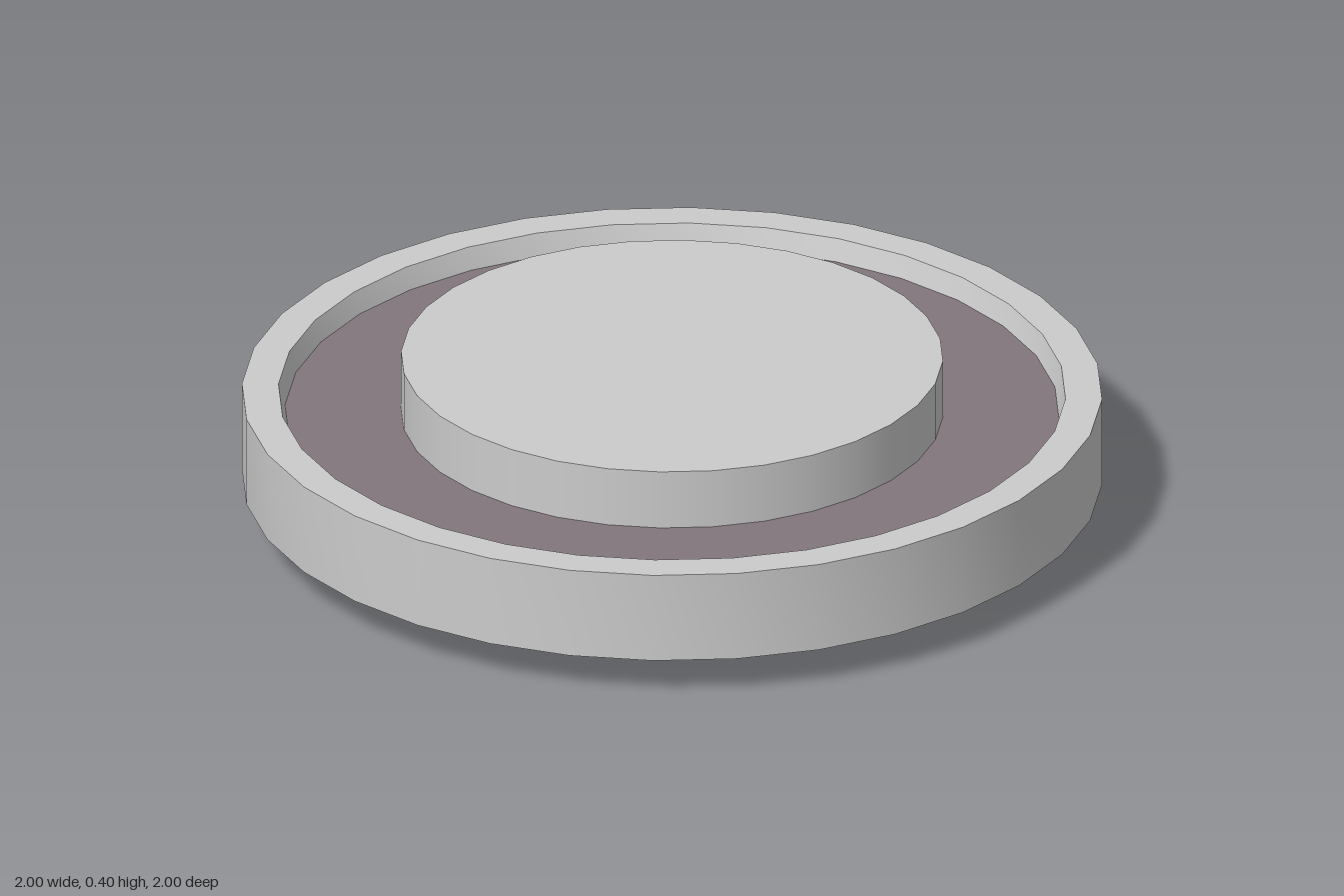
import * as THREE from 'three';
import { toCreasedNormals } from 'three/addons/utils/BufferGeometryUtils.js';

const SIDES = 32;
const grey = new THREE.MeshStandardMaterial({ color: 0xcccccc });
const dark = new THREE.MeshStandardMaterial({ color: 0x82767d });

// Revolves a [radius, y] profile, smooth around and sharp at the rims
function turned(name, profile, material) {
  const points = profile.map(([r, y]) => new THREE.Vector2(r, y));
  const geometry = toCreasedNormals(new THREE.LatheGeometry(points, SIDES), Math.PI / 6);
  const mesh = new THREE.Mesh(geometry, material);
  mesh.name = name;
  return mesh;
}

// Solid round block between two heights
function hub(name, radius, bottom, top) {
  const geometry = new THREE.CylinderGeometry(radius, radius, top - bottom, SIDES);
  const mesh = new THREE.Mesh(geometry, grey);
  mesh.name = name;
  mesh.position.y = (bottom + top) / 2;
  return mesh;
}

export function createModel() {
  const model = new THREE.Group();
  model.name = 'wheel';

  // Outer rim with slightly flared inner walls
  model.add(turned('rim', [
    [0.9, 0.144], [0.915, 0.094], [1, 0.094], [1, 0.313], [0.915, 0.313], [0.9, 0.26],
  ], grey));

  // Dark recessed web between rim and hubs, seen from above and below
  model.add(turned('upperWeb', [[0.9, 0.26], [0.63, 0.26]], dark));
  model.add(turned('lowerWeb', [[0.57, 0.144], [0.9, 0.144]], dark));

  // Raised hubs on both faces
  model.add(hub('upperHub', 0.63, 0.26, 0.404));
  model.add(hub('lowerHub', 0.57, 0, 0.144));

  return model;
}
